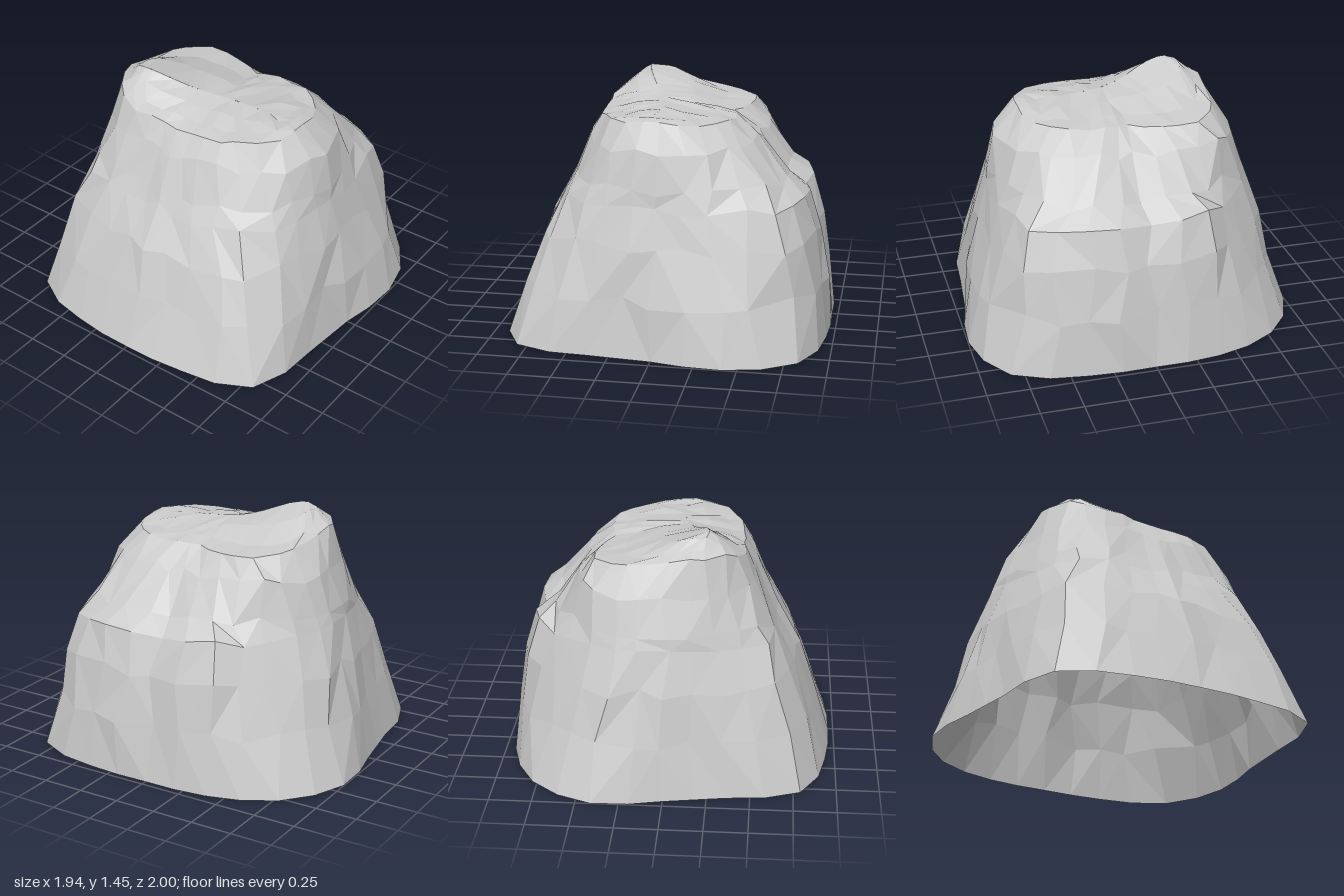
import * as THREE from 'three';

const SEGMENTS = 32;
const CROWN = 1.26;

// Contours of the rock: height, then 16 radii running from the left side (+x) via the front (+z)
const CONTOURS = [
  [0.0, [0.965, 1.035, 1.17, 1.08, 0.945, 0.985, 1.15, 1.025, 0.97, 1.02, 1.12, 0.96, 0.95, 1.08, 1.1, 1.02]],
  [0.33, [0.93, 1.0, 1.08, 0.99, 0.91, 0.93, 1.02, 0.89, 0.86, 0.9, 1.01, 0.89, 0.89, 0.97, 0.98, 0.98]],
  [0.62, [0.87, 0.95, 1.01, 0.89, 0.85, 0.87, 0.89, 0.77, 0.76, 0.79, 0.9, 0.82, 0.83, 0.89, 0.87, 0.93]],
  [0.84, [0.79, 0.88, 0.92, 0.81, 0.8, 0.8, 0.77, 0.66, 0.64, 0.68, 0.79, 0.75, 0.77, 0.82, 0.79, 0.87]],
  [0.94, [0.66, 0.76, 0.82, 0.78, 0.78, 0.77, 0.7, 0.61, 0.59, 0.63, 0.74, 0.72, 0.75, 0.78, 0.76, 0.74]],
  [1.15, [0.51, 0.56, 0.64, 0.69, 0.74, 0.69, 0.59, 0.52, 0.5, 0.54, 0.63, 0.65, 0.67, 0.7, 0.7, 0.58]],
  [CROWN, [0.36, 0.41, 0.5, 0.56, 0.59, 0.59, 0.51, 0.45, 0.43, 0.47, 0.57, 0.61, 0.58, 0.59, 0.59, 0.45]],
];

function makeRandom(seed) {
  return () => {
    seed = (seed * 16807) % 2147483647;
    return seed / 2147483647 * 2 - 1;
  };
}

// Smooth closed interpolation of the radii
function radiusAt(radii, turn) {
  const n = radii.length, t = turn * n, i = Math.floor(t), f = t - i;
  const [a, b, c, d] = [-1, 0, 1, 2].map((o) => radii[(i + o + n) % n]);
  return b + 0.5 * f * (c - a + f * (2 * a - 5 * b + 4 * c - d + f * (3 * (b - c) + d - a)));
}

// Summit: a long, gentle ridge with a peak at its back end, steeper to the right and back
const bell = (v, below, above) => Math.exp(-((v / (v < 0 ? below : above)) ** 2));
const ridgeX = (z) => -0.05 - 0.18 * bell(z + 0.39, 0.25, 0.35);
function summitHeight(x, z) {
  return CROWN + 0.145 * bell(x + 0.23, 0.15, 0.25) * bell(z + 0.39, 0.18, 0.28)
    + 0.07 * bell(x + 0.05, 0.3, 0.3) * bell(z, 1, 1);
}

function buildRock() {
  const random = makeRandom(4711);
  const rings = [];
  const grooves = Array.from({ length: SEGMENTS }, () => random() * 0.012);

  // Sides, with slight vertical grooves and uneven layers; points slide along the slope
  CONTOURS.forEach(([y, radii], k) => {
    const rough = k === 0 ? 0 : 1;
    const layered = k > 0 && y < CROWN ? 1 : 0;
    rings.push(grooves.map((groove, j) => {
      const turn = j / SEGMENTS + rough * random() * 0.007, angle = turn * Math.PI * 2;
      const dy = layered * random() * 0.03;
      const r = radiusAt(radii, (turn + 1) % 1) - dy * 0.5 + rough * (groove + random() * 0.008);
      const x = Math.cos(angle) * r, z = Math.sin(angle) * r;
      return [x, y < CROWN ? y + dy : summitHeight(x, z) + random() * 0.012, z];
    }));
  });

  // Summit, closing in on the ridge line
  const rim = rings[rings.length - 1];
  for (const [across, along] of [[0.74, 0.9], [0.4, 0.79], [0, 0.68]]) {
    rings.push(rim.map(([x, , z]) => {
      const pz = z * along, px = THREE.MathUtils.lerp(ridgeX(pz), x, across);
      return [px, summitHeight(px, pz) + (across ? random() * 0.01 : 0), pz];
    }));
  }

  // Triangles between neighbouring rings, with the diagonals varied
  const indices = [];
  for (let k = 0; k < rings.length - 1; k++) {
    for (let j = 0; j < SEGMENTS; j++) {
      const a = k * SEGMENTS + j, b = k * SEGMENTS + (j + 1) % SEGMENTS;
      const c = a + SEGMENTS, d = b + SEGMENTS;
      if (random() > 0) indices.push(a, c, b, b, c, d);
      else indices.push(a, c, d, a, d, b);
    }
  }

  const geometry = new THREE.BufferGeometry();
  geometry.setAttribute('position', new THREE.Float32BufferAttribute(rings.flat(2), 3));
  geometry.setIndex(indices);
  geometry.computeVertexNormals();
  return geometry;
}

export function createModel() {
  const model = new THREE.Group();
  model.name = 'boulder';
  // Hollow shell, open underneath
  const rock = new THREE.Mesh(buildRock(), new THREE.MeshStandardMaterial({
    color: 0xcccccc, flatShading: true, side: THREE.DoubleSide,
  }));
  rock.name = 'rock';
  model.add(rock);
  return model;
}
